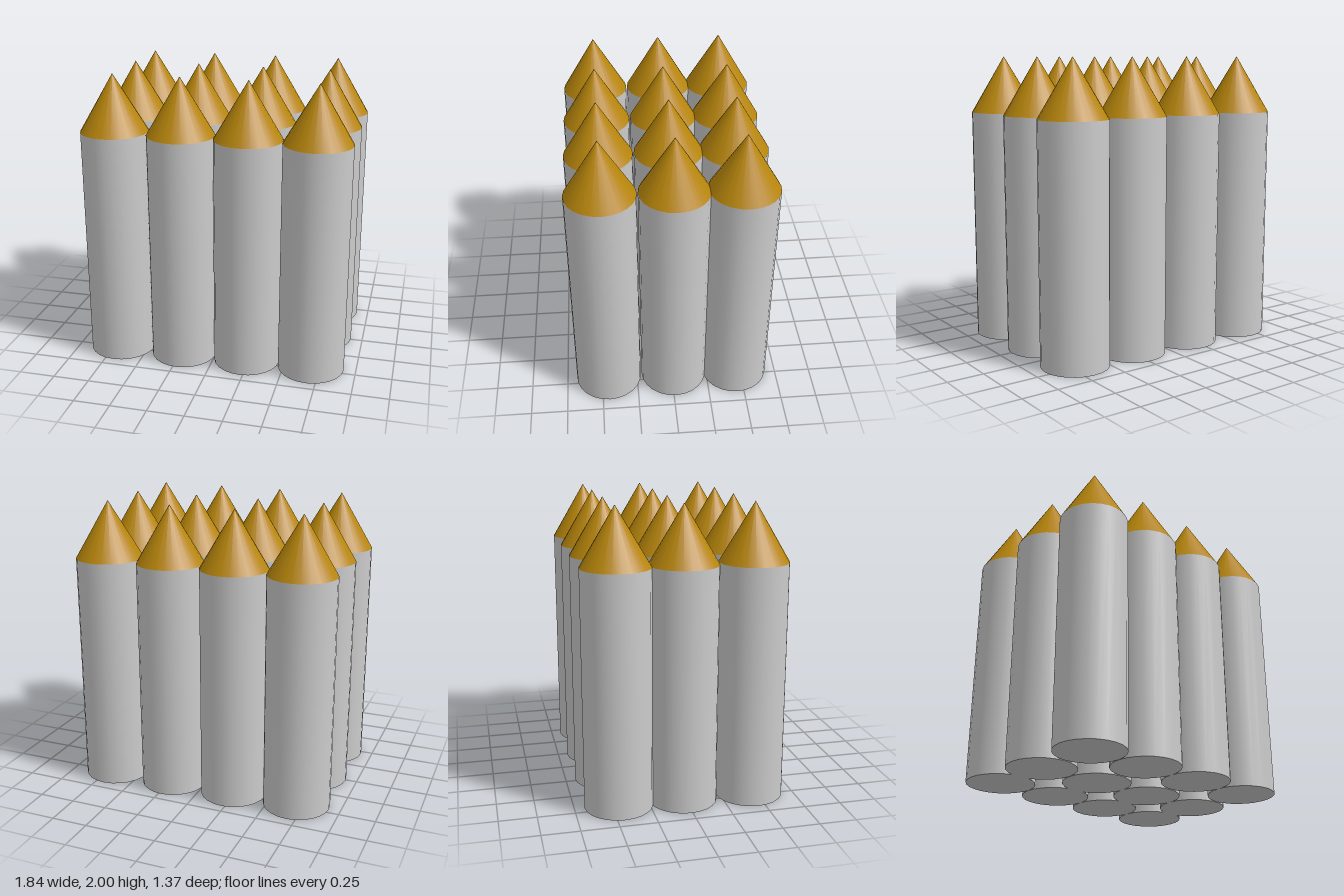
import * as THREE from 'three';

const RADIUS = 0.23, BODY_HEIGHT = 1.61, TIP_HEIGHT = 0.39, SIDES = 24;

export function createModel() {
  const model = new THREE.Group();
  model.name = 'pointedColumns';

  const bodyMaterial = new THREE.MeshStandardMaterial({ color: 0xcccccc });
  const tipMaterial = new THREE.MeshStandardMaterial({ color: 0xb8860b });

  // Shared shapes, both resting on their own base
  const bodyGeometry = new THREE.CylinderGeometry(RADIUS, RADIUS, BODY_HEIGHT, SIDES)
    .translate(0, BODY_HEIGHT / 2, 0);
  const tipGeometry = new THREE.ConeGeometry(RADIUS, TIP_HEIGHT, SIDES)
    .translate(0, TIP_HEIGHT / 2, 0);

  // One column: round body with a conical tip
  function createColumn(x, z) {
    const column = new THREE.Group();
    column.name = 'column';
    const body = new THREE.Mesh(bodyGeometry, bodyMaterial);
    body.name = 'body';
    const tip = new THREE.Mesh(tipGeometry, tipMaterial);
    tip.name = 'tip';
    tip.position.y = BODY_HEIGHT;
    column.add(body, tip);
    column.position.set(x, 0, z);
    return column;
  }

  // Four columns across, three rows deep, with slightly uneven row spacing
  for (const z of [0.453, -0.013, -0.453]) {
    for (const x of [-0.69, -0.228, 0.229, 0.687]) model.add(createColumn(x, z));
  }
  return model;
}
